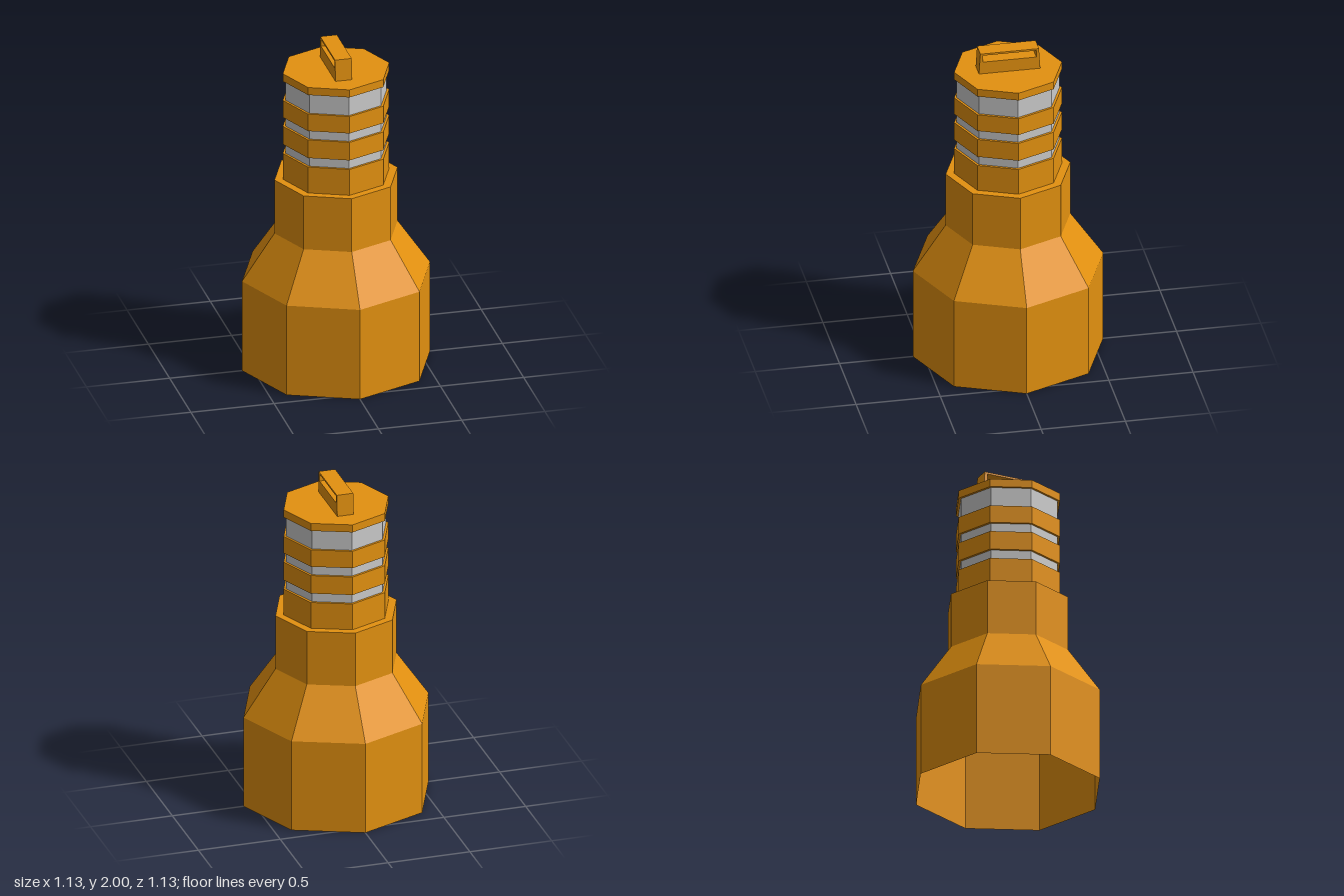
import * as THREE from 'three';

const SIDES = 8;
const orange = new THREE.MeshStandardMaterial({ color: 0xe39110, flatShading: true, side: THREE.DoubleSide });
const grey = new THREE.MeshStandardMaterial({ color: 0xcccccc, flatShading: true, side: THREE.DoubleSide });

// Eight-sided shell turned from [radius, height] points
function shell(name, points, material) {
  const profile = points.map(([r, y]) => new THREE.Vector2(r, y));
  const mesh = new THREE.Mesh(new THREE.LatheGeometry(profile, SIDES), material);
  mesh.name = name;
  return mesh;
}

export function createModel() {
  const model = new THREE.Group();
  model.name = 'buoy';
  const core = 0.305, band = 0.32;

  // Hollow body, open underneath: wide skirt, sloping shoulder, neck and ledge
  model.add(shell('body', [[0.565, 0], [0.565, 0.57], [0.37, 0.855], [0.37, 1.195], [core, 1.195]], orange));

  // Raised orange bands, each with a lip back to the core
  const bands = [[1.195, 1.36], [1.418, 1.533], [1.59, 1.698]];
  bands.forEach(([y0, y1], i) => {
    model.add(shell(`band${i + 1}`, [[core, y0], [band, y0], [band, y1], [core, y1]], orange));
  });

  // Grey rings between the bands
  const rings = [[1.36, 1.418], [1.533, 1.59], [1.698, 1.82]];
  rings.forEach(([y0, y1], i) => {
    model.add(shell(`ring${i + 1}`, [[core, y0], [core, y1]], grey));
  });

  // Closed top cap
  model.add(shell('cap', [[core, 1.82], [band, 1.82], [band, 1.868], [0, 1.868]], orange));

  // Lifting handle: tapered block with a slot through it, running front to back
  const outline = new THREE.Shape([[-0.182, 1.868], [0.182, 1.868], [0.174, 2], [-0.174, 2]]
    .map(([z, y]) => new THREE.Vector2(z, y)));
  outline.holes.push(new THREE.Path([[-0.158, 1.945], [-0.158, 1.988], [0.158, 1.988], [0.158, 1.945]]
    .map(([z, y]) => new THREE.Vector2(z, y))));
  const geometry = new THREE.ExtrudeGeometry(outline, { depth: 0.1, bevelEnabled: false });
  geometry.translate(0, 0, -0.05).rotateY(Math.PI / 2);
  const handle = new THREE.Mesh(geometry, orange);
  handle.name = 'handle';
  model.add(handle);

  return model;
}
